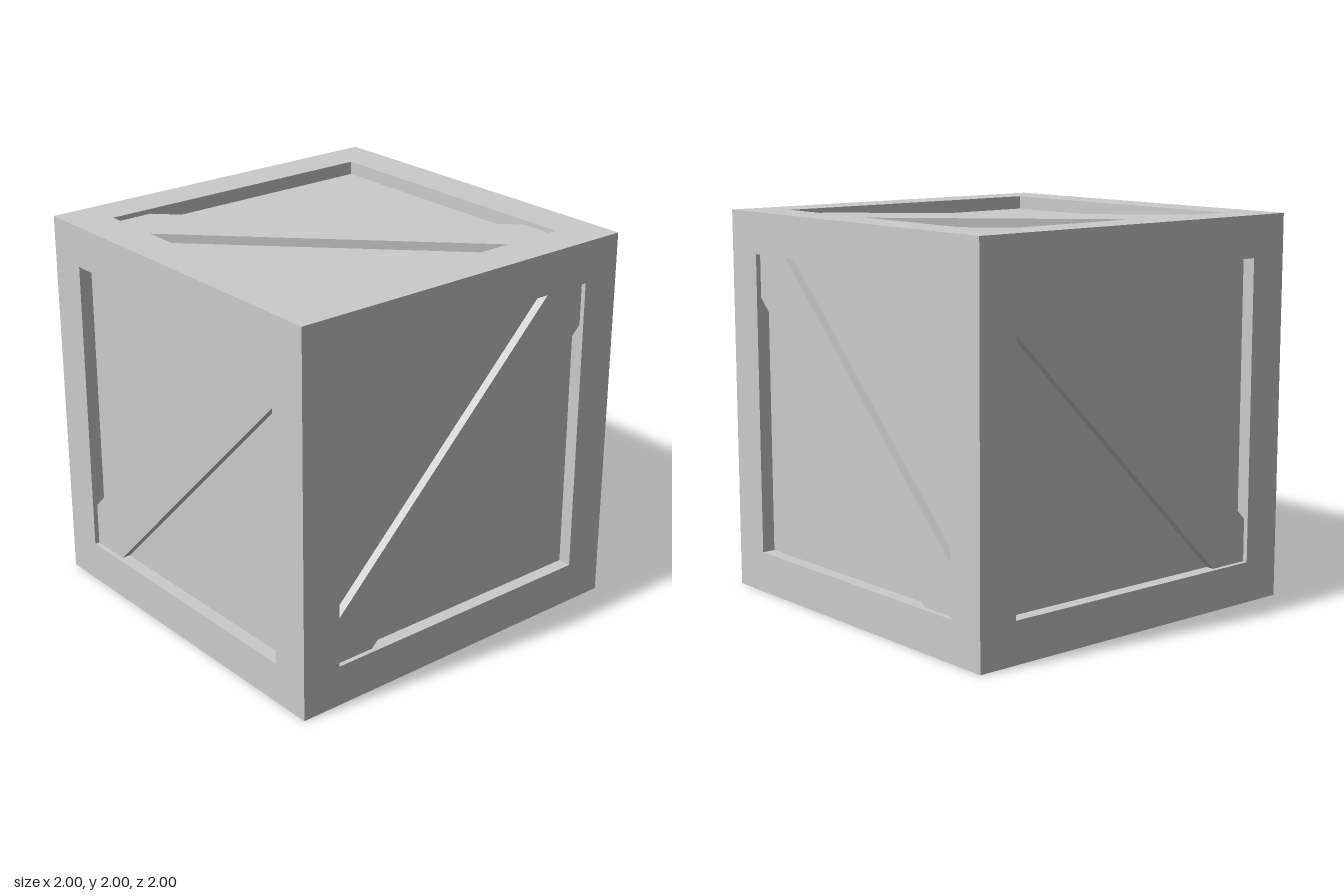
import * as THREE from 'three';

const HALF = 1;          // half the crate's edge
const BEAM = 0.215;      // frame width
const INNER = HALF - BEAM;
const PANEL = 0.93;      // distance of the panels from the centre
const BRACE = 0.975;     // distance of the brace faces from the centre
const CUT = 0.56;        // where a brace's long edges meet the frame

export function createModel() {
  const material = new THREE.MeshStandardMaterial({ color: 0xcccccc, flatShading: true });
  const model = new THREE.Group();
  model.name = 'crate';
  const body = new THREE.Group();
  body.name = 'crateBody';
  body.position.y = HALF;
  model.add(body);

  const add = (name, geometry, parent = body) => {
    const mesh = new THREE.Mesh(geometry, material);
    mesh.name = name;
    parent.add(mesh);
    return mesh;
  };

  // Recessed panels on all six sides
  add('panels', new THREE.BoxGeometry(2 * PANEL, 2 * PANEL, 2 * PANEL));

  // Frame: four full-height posts, with rails fitted between them
  const mid = HALF - BEAM / 2;
  for (const a of [-mid, mid]) {
    for (const b of [-mid, mid]) {
      add('cornerPost', new THREE.BoxGeometry(BEAM, 2 * HALF, BEAM)).position.set(a, 0, b);
      add('crossRail', new THREE.BoxGeometry(2 * INNER, BEAM, BEAM)).position.set(0, a, b);
      add('sideRail', new THREE.BoxGeometry(BEAM, BEAM, 2 * INNER)).position.set(a, b, 0);
    }
  }

  // Diagonal brace outline, running corner to corner inside the frame
  const outline = new THREE.Shape([
    [-INNER, -INNER], [-CUT, -INNER], [INNER, CUT],
    [INNER, INNER], [CUT, INNER], [-INNER, -CUT],
  ].map(([x, y]) => new THREE.Vector2(x, y)));
  const depth = BRACE - PANEL;
  const braceGeometry = new THREE.ExtrudeGeometry(outline, { depth, bevelEnabled: false });

  // A parallel pair of braces for each axis
  const pairs = [
    ['frontBackBraces', 0, 0],
    ['sideBraces', 0, Math.PI / 2],
    ['topBottomBraces', -Math.PI / 2, 0],
  ];
  for (const [name, rx, ry] of pairs) {
    const pair = new THREE.Group();
    pair.name = name;
    pair.rotation.set(rx, ry, 0);
    add('brace', braceGeometry, pair).position.z = PANEL;
    add('brace', braceGeometry, pair).position.z = -BRACE;
    body.add(pair);
  }

  return model;
}
